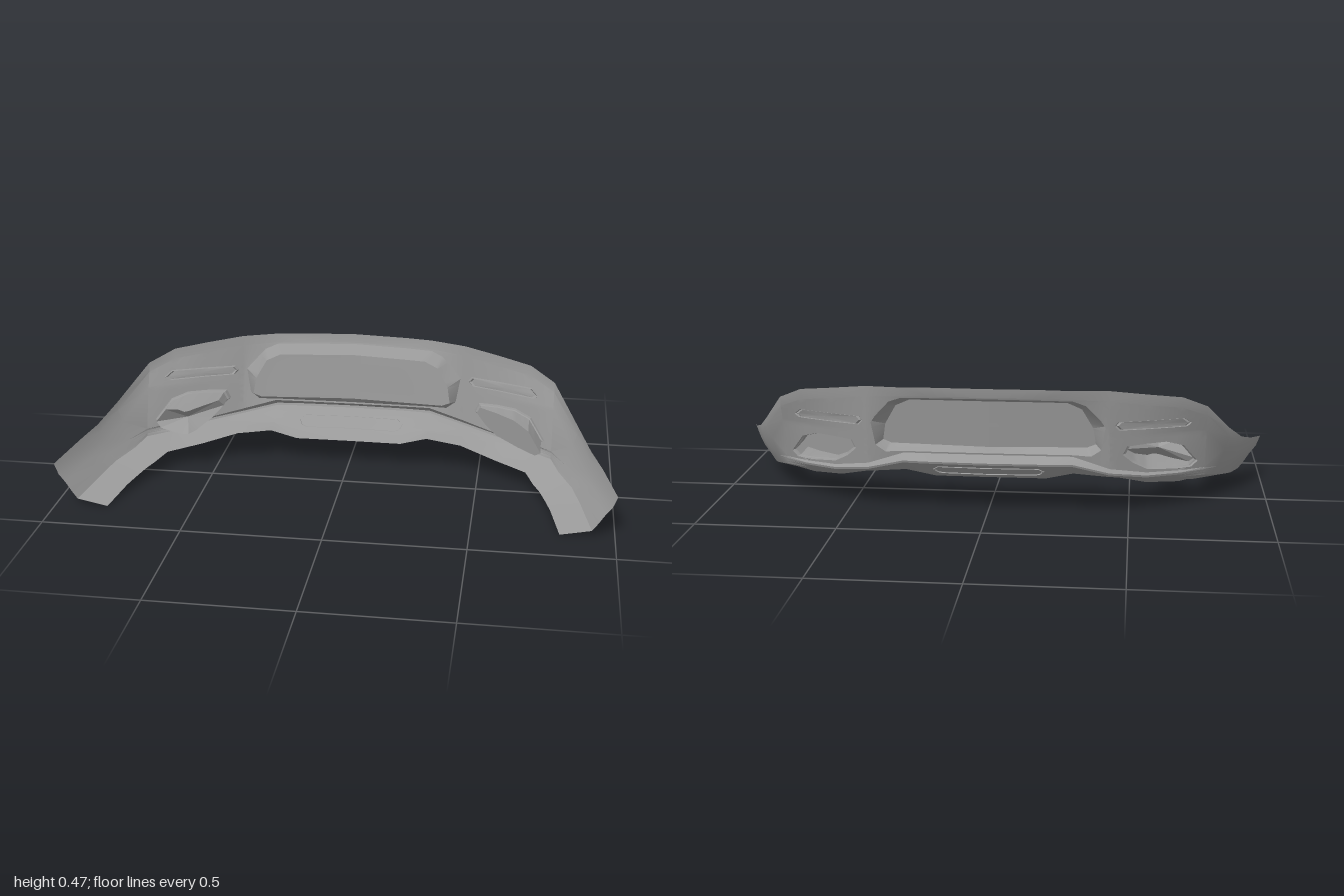
import * as THREE from 'three';
import { mergeGeometries, toCreasedNormals } from 'three/addons/utils/BufferGeometryUtils.js';

const V = (x, y, z) => new THREE.Vector3(x, y, z);
const V2 = (x, y) => new THREE.Vector2(x, y);
const lerp = THREE.MathUtils.lerp;

// Sections [x, then y,z of: top edge, roll, middle, shelf, lip, lip underside, lower crease, bottom edge]
const sections = [
  [0, [.468, -.345], [.435, -.34], [.34, -.30], [.212, -.262], [.19, -.30], [.168, -.262], [.125, -.22], [.1, -.155]],
  [.2, [.466, -.333], [.433, -.328], [.34, -.293], [.212, -.26], [.19, -.295], [.168, -.255], [.125, -.21], [.1, -.153]],
  [.3, [.463, -.325], [.43, -.318], [.335, -.285], [.212, -.258], [.19, -.287], [.168, -.25], [.138, -.212], [.128, -.15]],
  [.43, [.458, -.29], [.42, -.288], [.285, -.271], [.17, -.256], [.157, -.267], [.14, -.238], [.125, -.2], [.112, -.14]],
  [.56, [.44, -.25], [.4, -.245], [.285, -.222], [.146, -.2], [.138, -.212], [.126, -.195], [.117, -.175], [.08, -.095]],
  [.68, [.423, -.205], [.385, -.2], [.285, -.167], [.141, -.14], [.134, -.147], [.123, -.14], [.113, -.13], [.067, -.025]],
  [.77, [.38, -.15], [.345, -.145], [.285, -.121], [.137, -.075], [.13, -.077], [.118, -.073], [.108, -.07], [.055, .05]],
];
const grid = sections.map(([x, ...rows]) => rows.map(([y, z]) => V(x, y, z)));
grid[6][7].x = .71;
// Blunt edge of the lip
for (const s of grid) s.splice(5, 0, V(s[4].x, s[4].y - .008, s[4].z + .003));

// Side arm sections: top, roll, middle, lower side, crease, bottom
const arms = [
  [[.86, .268, -.01], [.86, .235, -.01], [.844, .19, -.005], [.82, .12, 0], [.8, .088, 0], [.735, .044, .09]],
  [[.91, .213, .09], [.905, .18, .09], [.89, .14, .09], [.87, .1, .09], [.85, .068, .09], [.755, .034, .14]],
  [[.95, .187, .18], [.94, .15, .18], [.922, .11, .18], [.897, .075, .18], [.88, .048, .18], [.775, .025, .2]],
  [[1, .155, .34], [.985, .115, .34], [.962, .085, .34], [.94, .05, .34], [.92, .022, .34], [.81, 0, .34]],
];
for (const a of arms) {
  const [t, u, m, l, c, b] = a.map(p => V(...p));
  grid.push([t, u, m, l, ...[.25, .5, .75].map(f => l.clone().lerp(c, f)), c, b]);
}

// Section interpolated at x, and depth of the outer skin at (x, y)
function column(x) {
  let i = 0;
  while (i < 5 && sections[i + 1][0] < x) i++;
  const t = (x - sections[i][0]) / (sections[i + 1][0] - sections[i][0]);
  return grid[i].map((p, k) => p.clone().lerp(grid[i + 1][k], t));
}
function skin(x, y) {
  const c = column(x), k = y > c[2].y ? 1 : 2;
  return lerp(c[k].z, c[k + 1].z, (y - c[k].y) / (c[k + 1].y - c[k].y));
}

// Surface through rows of points
function loft(rows, closed = false) {
  const pos = [], n = rows[0].length;
  for (let i = 0; i + 1 < rows.length; i++)
    for (let k = 0; k < (closed ? n : n - 1); k++) {
      const j = (k + 1) % n, a = rows[i][k], b = rows[i][j], c = rows[i + 1][k], d = rows[i + 1][j];
      for (const p of [a, b, c, c, b, d]) pos.push(p.x, p.y, p.z);
    }
  return new THREE.BufferGeometry().setAttribute('position', new THREE.Float32BufferAttribute(pos, 3));
}

function subdivide(list, closed, n = 4) {
  const pts = list.map(p => V2(...p)), out = [];
  for (let i = 0; i < (closed ? pts.length : pts.length - 1); i++)
    for (let k = 0; k < n; k++) out.push(pts[i].clone().lerp(pts[(i + 1) % pts.length], k / n));
  if (!closed) out.push(pts.at(-1));
  return out;
}
const middle = pts => pts.reduce((s, p) => s.add(p), pts[0].clone().multiplyScalar(0)).divideScalar(pts.length);
const shrink = (pts, s) => { const c = middle(pts); return pts.map(p => p.clone().sub(c).multiplyScalar(s).add(c)); };
const place = (pts, depth) => pts.map(p => V(p.x, p.y, depth(p.x, p.y)));
const fan = pts => pts.map(() => middle(pts));

// Skin around an opening; the border is given as [x, row number]
function surround(border, hole, closed) {
  const outer = subdivide(border, closed).map(p => {
    const c = column(p.x), k = Math.min(Math.floor(p.y), 2);
    return V2(p.x, lerp(c[k].y, c[k + 1].y, p.y - k));
  });
  const between = f => place(outer.map((p, i) => p.clone().lerp(hole[i], f)), skin);
  return loft([0, .33, .67, 1].map(between), closed);
}

// Places a half on its own side, keeping the skin facing outward
function sided(g, side) {
  g = g.clone();
  const p = g.attributes.position;
  if (side < 0) g.scale(-1, 1, 1);
  else for (let i = 0; i < p.count; i += 3) {
    const a = V().fromBufferAttribute(p, i + 1), b = V().fromBufferAttribute(p, i + 2);
    p.setXYZ(i + 1, b.x, b.y, b.z);
    p.setXYZ(i + 2, a.x, a.y, a.z);
  }
  return g;
}

export function createModel() {
  const model = new THREE.Group();
  model.name = 'bumper';
  const material = new THREE.MeshStandardMaterial({ color: 0x999999, side: THREE.DoubleSide });
  const add = (name, geos) => {
    const mesh = new THREE.Mesh(toCreasedNormals(mergeGeometries(geos), .45), material);
    mesh.name = name;
    model.add(mesh);
  };
  const both = g => [sided(g, 1), sided(g, -1)];

  // Openings on one half, each with the matching border in the skin
  const plateEdge = subdivide([[0, .43], [.2, .427], [.3, .424], [.345, .406], [.415, .33],
    [.4, .24], [.365, .215], [.3, .218], [.2, .218], [0, .218]], false);
  const plateBorder = [[0, 1], [.2, 1], [.3, 1], [.43, 1], [.43, 2], [.43, 2.5], [.43, 3], [.3, 3], [.2, 3], [0, 3]];
  const plateInner = subdivide([[0, .408], [.2, .405], [.28, .403], [.33, .38], [.37, .31],
    [.38, .25], [.35, .238], [.28, .238], [.2, .238], [0, .238]], false);
  const slot = subdivide([[.7, .31], [.715, .322], [.69, .343], [.65, .343], [.56, .343],
    [.457, .343], [.445, .328], [.46, .312], [.56, .311], [.65, .31]], true);
  const slotBorder = [[.77, 2], [.77, 1.5], [.77, 1], [.68, 1], [.56, 1], [.43, 1], [.43, 1.5], [.43, 2], [.56, 2], [.68, 2]];
  const pocket = subdivide([[.72, .148], [.742, .168], [.69, .237], [.63, .257], [.56, .256],
    [.49, .25], [.475, .22], [.51, .188], [.56, .16], [.65, .15]], true);
  const pocketBorder = [[.77, 3], [.77, 2.6], [.77, 2], [.68, 2], [.56, 2], [.43, 2], [.43, 2.4], [.43, 3], [.56, 3], [.68, 3]];

  // Skin: lofted top roll, lip, underside and arms, with pierced areas between
  const half = [
    loft(grid.map(s => s.slice(0, 2))),
    loft(grid.map(s => s.slice(3))),
    loft(grid.slice(6).map(s => s.slice(1, 4))),
  ];
  const pierced = [
    surround(plateBorder, plateEdge, false),
    surround(slotBorder, slot, true),
    surround(pocketBorder, pocket, true),
  ];
  // The two rings run anticlockwise and the plate border clockwise
  const skinHalves = side => [
    ...[...half, ...pierced.slice(1)].map(g => sided(g, side)),
    sided(pierced[0].clone().scale(-1, 1, 1), -side).scale(1, 1, 1),
  ];
  add('bumperSkin', [1, -1].flatMap(side => skinHalves(side)));

  // Recessed plate panel with sloping walls
  const panelDepth = (x, y) => -.25 - .13 * (y - .24) + .08 * x;
  const panel = place(plateInner, panelDepth);
  const hub = panel.map(() => V(0, .32, panelDepth(0, .32)));
  add('plateRecess', both(loft([place(plateEdge, skin), panel, hub])));

  // Reflector slots: narrow groove around a lens
  const lensFace = place(shrink(slot, .9), (x, y) => skin(x, y) + .004);
  add('reflectorSlots', both(loft([
    place(slot, skin), place(shrink(slot, .96), (x, y) => skin(x, y) + .012), lensFace, fan(lensFace)], true)));

  // Corner ducts: a stepped frame leading to an angled back wall
  const backWall = {
    1: x => -.15 + (x - .55),
    [-1]: x => (x > .59 ? .02 - .65 * (x - .59) : .02 - 1.7 * (.59 - x)),
  };
  for (const side of [1, -1]) {
    const back = place(shrink(pocket, .92), x => backWall[side](x));
    const duct = loft([
      place(pocket, skin),
      place(shrink(pocket, .97), (x, y) => skin(x, y) + .015),
      place(shrink(pocket, .92), (x, y) => skin(x, y) + .018),
      back, fan(back)], true);
    add(side > 0 ? 'leftDuct' : 'rightDuct', [sided(duct, side)]);
  }

  // Long lamp under the lip: raised rim with a sunken lens
  const lamp = subdivide([[-.2, .148], [-.18, .162], [.18, .162], [.2, .148], [.19, .132], [.17, .126], [-.17, .126], [-.19, .132]], true);
  const under = off => (x, y) => -.22 - (y - .125) * .977 + .045 * Math.abs(x) + off;
  const inset = (dx, dy) => lamp.map(p => V2(p.x * dx, .144 + (p.y - .144) * dy));
  const lampFace = place(inset(.95, .6), under(-.003));
  add('lowerLamp', [loft([
    place(lamp, under(.004)), place(inset(.99, .92), under(-.009)), place(inset(.97, .72), under(-.009)),
    lampFace, lampFace.map(p => V(p.x, .144, under(-.003)(p.x, .144)))], true)]);

  return model;
}
